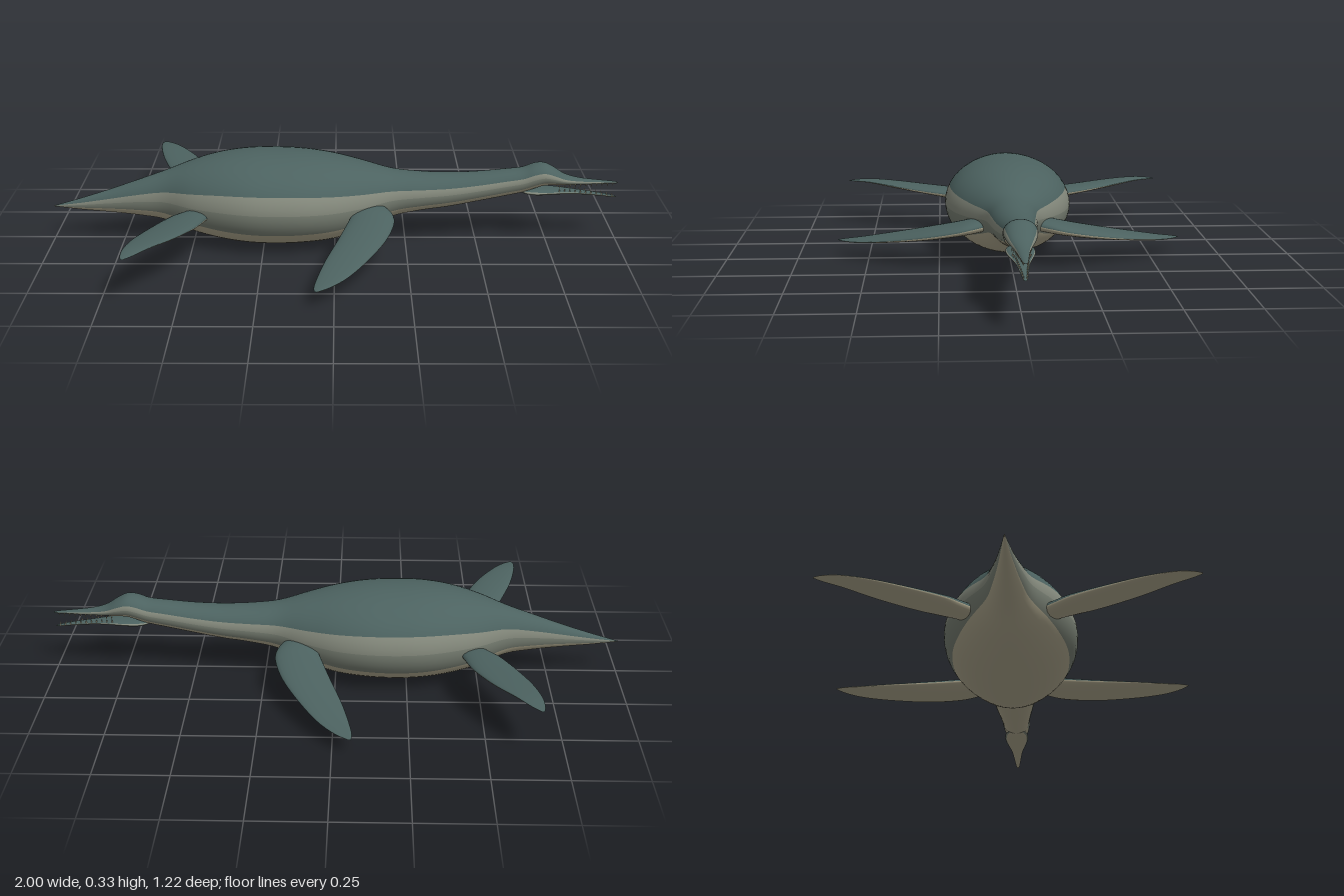
import * as THREE from 'three';

const mat = (name, color) => Object.assign(new THREE.MeshStandardMaterial({ color }), { name });

// Smooth interpolation of numeric stations
function refine(stations, steps) {
  const out = [];
  const n = stations.length;
  for (let i = 0; i < n - 1; i++) {
    const [a, b, c, d] = [i - 1, i, i + 1, i + 2].map(k => stations[Math.min(n - 1, Math.max(0, k))]);
    for (let s = 0; s < steps; s++) {
      const t = s / steps;
      out.push(b.map((_, k) => 0.5 * (2 * b[k] + (c[k] - a[k]) * t
        + (2 * a[k] - 5 * b[k] + 4 * c[k] - d[k]) * t * t
        + (3 * b[k] - a[k] - 3 * c[k] + d[k]) * t * t * t)));
    }
  }
  out.push(stations[n - 1]);
  return out;
}

// Skin closed rings; zone(angle) picks the material of each strip
function loft(name, stations, segs, point, zone, materials) {
  const pos = [], faces = materials.map(() => []);
  stations.forEach((s, i) => {
    for (let j = 0; j < segs; j++) {
      pos.push(...point(s, j / segs * Math.PI * 2));
      if (i === stations.length - 1) continue;
      const a = i * segs + j, b = a + segs;
      const c = i * segs + (j + 1) % segs, d = c + segs;
      faces[zone((j + 0.5) / segs * Math.PI * 2)].push(a, b, d, a, d, c);
    }
  });
  const geo = new THREE.BufferGeometry();
  geo.setAttribute('position', new THREE.Float32BufferAttribute(pos, 3));
  geo.setIndex(faces.flat());
  let start = 0;
  faces.forEach((f, k) => { geo.addGroup(start, f.length, k); start += f.length; });
  geo.computeVertexNormals();
  const mesh = new THREE.Mesh(geo, materials);
  mesh.name = name;
  return mesh;
}

// Body stations: x, top y, bottom y, half width
const BODY = [
  [-1, 0.121, 0.119, 0.001], [-0.9, 0.15, 0.108, 0.016], [-0.8, 0.182, 0.1, 0.032],
  [-0.7, 0.217, 0.09, 0.052], [-0.6, 0.252, 0.075, 0.08], [-0.5, 0.289, 0.04, 0.145],
  [-0.4, 0.315, 0.017, 0.192], [-0.3, 0.327, 0.005, 0.221], [-0.2, 0.328, 0.002, 0.228],
  [-0.1, 0.323, 0.006, 0.22], [0, 0.309, 0.017, 0.192], [0.1, 0.286, 0.045, 0.145],
  [0.2, 0.26, 0.09, 0.095], [0.3, 0.249, 0.112, 0.08], [0.4, 0.246, 0.126, 0.07],
  [0.5, 0.25, 0.145, 0.061], [0.6, 0.26, 0.165, 0.054], [0.66, 0.267, 0.178, 0.052],
  [0.7, 0.281, 0.192, 0.054], [0.735, 0.284, 0.203, 0.053], [0.77, 0.268, 0.205, 0.047],
  [0.81, 0.243, 0.205, 0.034], [0.86, 0.229, 0.205, 0.022], [0.93, 0.221, 0.207, 0.014],
  [0.985, 0.216, 0.208, 0.008], [1, 0.212, 0.21, 0.002],
];
const JAW = [
  [0.645, 0.187, 0.185, 0.01], [0.67, 0.195, 0.175, 0.038], [0.71, 0.195, 0.171, 0.046],
  [0.76, 0.192, 0.173, 0.042], [0.81, 0.188, 0.174, 0.032], [0.86, 0.183, 0.171, 0.021],
  [0.93, 0.174, 0.164, 0.013], [0.98, 0.165, 0.158, 0.007], [0.995, 0.16, 0.158, 0.002],
];
// Flipper stations: z, leading x, trailing x, y, half thickness
const FLIPPERS = {
  frontFlipper: [
    [0.08, 0.17, 0.07, 0.148, 0.022], [0.14, 0.2, 0.06, 0.14, 0.024], [0.2, 0.203, 0.042, 0.128, 0.022],
    [0.3, 0.173, 0.01, 0.108, 0.018], [0.42, 0.11, -0.03, 0.085, 0.012], [0.52, 0.045, -0.055, 0.068, 0.007],
    [0.58, -0.01, -0.065, 0.06, 0.004], [0.612, -0.055, -0.062, 0.057, 0.001],
  ],
  rearFlipper: [
    [0.08, -0.42, -0.5, 0.125, 0.022], [0.15, -0.435, -0.545, 0.135, 0.023], [0.2, -0.444, -0.575, 0.142, 0.021],
    [0.3, -0.47, -0.615, 0.152, 0.016], [0.42, -0.525, -0.655, 0.163, 0.011], [0.52, -0.59, -0.675, 0.17, 0.006],
    [0.58, -0.635, -0.678, 0.168, 0.003], [0.608, -0.665, -0.672, 0.165, 0.001],
  ],
};

export function createModel() {
  const group = new THREE.Group();
  const back = mat('backTeal', 0x4c6260);
  const stripe = mat('stripeGrey', 0x858a7d);
  const flank = mat('flankGreyGreen', 0x777e72);
  const belly = mat('bellyBeige', 0xb0a98f);

  // Back, side stripe, lower flank and belly bands
  const ringX = ([x, top, bottom, w], a) =>
    [x, (top + bottom) / 2 + Math.sin(a) * (top - bottom) / 2, Math.cos(a) * w];
  const bodyZone = a => [0.38, 0, -0.45].filter(limit => Math.sin(a) < limit).length;
  const body = refine(BODY, 4), jaw = refine(JAW, 4);
  group.add(loft('body', body, 48, ringX, bodyZone, [back, stripe, flank, belly]));
  group.add(loft('lowerJaw', jaw, 48, ringX, bodyZone, [back, stripe, flank, belly]));

  for (const side of [1, -1]) {
    const label = side > 0 ? 'Left' : 'Right';

    // Lens-section paddles, dark above and pale below
    for (const [name, stations] of Object.entries(FLIPPERS)) {
      const ringZ = ([z, lead, trail, y, t], a) =>
        [(lead + trail) / 2 - side * Math.cos(a) * (lead - trail) / 2, y + Math.sin(a) * t, side * z];
      group.add(loft(name + label, refine(stations, 4), 24, ringZ, a => a < Math.PI ? 0 : 1, [back, belly]));
    }

    // Rows of small teeth along both jaws
    for (let i = 0; i < 11; i++) {
      const x = 0.79 + i * 0.019;
      for (const [rows, up, name] of [[body, -1, 'upperTooth'], [jaw, 1, 'lowerTooth']]) {
        const s = rows.reduce((p, q) => Math.abs(q[0] - x) < Math.abs(p[0] - x) ? q : p);
        const tooth = new THREE.Mesh(new THREE.ConeGeometry(0.0028, 0.011, 6), belly);
        tooth.name = name + label;
        tooth.position.set(x, (up > 0 ? s[1] : s[2]) + up * 0.002, side * s[3] * 0.72);
        if (up < 0) tooth.rotation.x = Math.PI;
        group.add(tooth);
      }
    }
  }
  return group;
}
